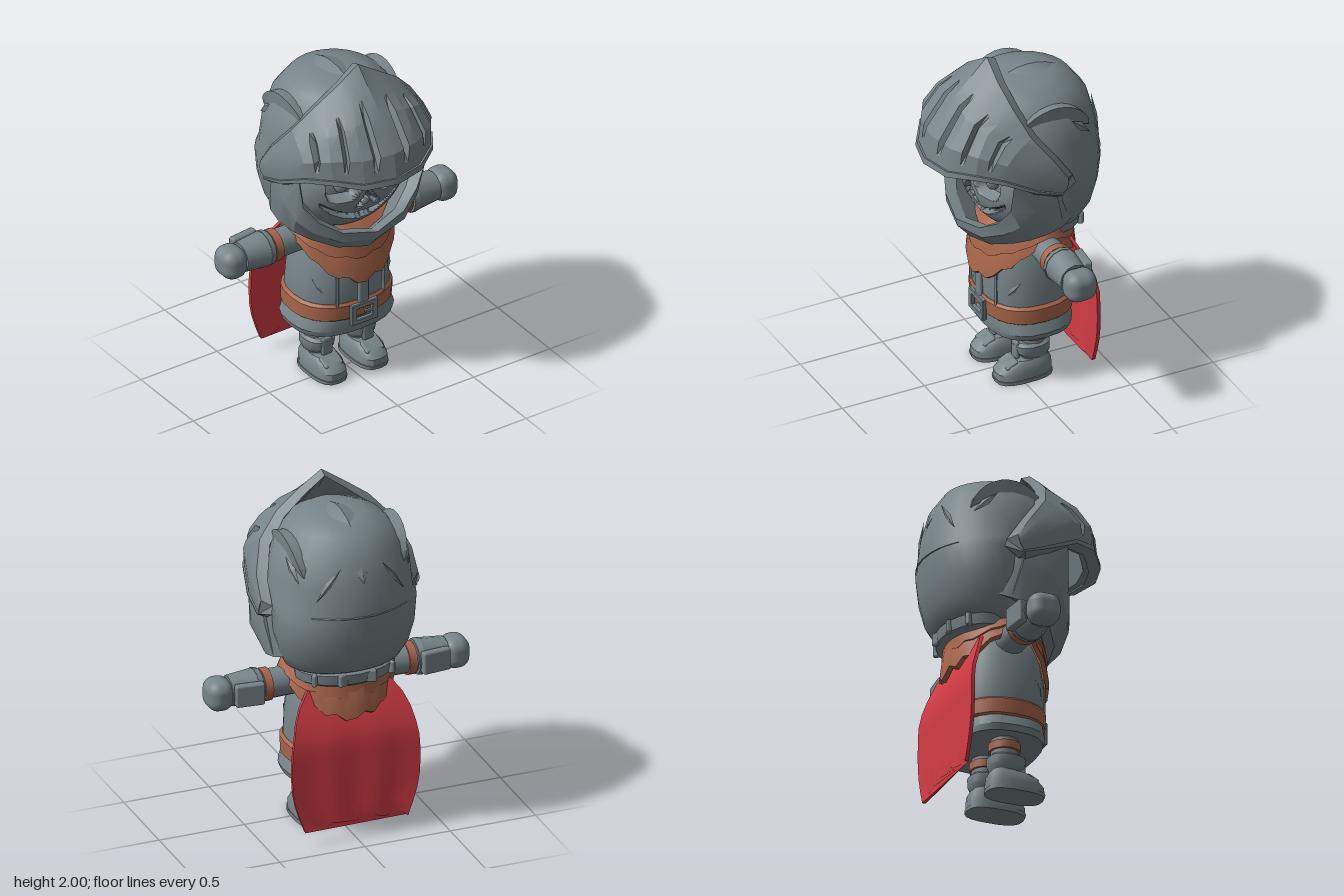
import * as THREE from 'three';
import { toCreasedNormals } from 'three/addons/utils/BufferGeometryUtils.js';
import { RoundedBoxGeometry } from 'three/addons/geometries/RoundedBoxGeometry.js';

const V = (x, y, z) => new THREE.Vector3(x, y, z);
const material = (name, color) => Object.assign(new THREE.MeshStandardMaterial({ color }), { name });

// Skin a row of closed loops; ends are capped unless the path itself is closed.
function loft(loops, closedPath = false, crease = 0.6) {
  const tris = [], n = loops[0].length, last = loops.length - (closedPath ? 0 : 1);
  for (let i = 0; i < last; i++) {
    const A = loops[i], B = loops[(i + 1) % loops.length];
    for (let j = 0; j < n; j++) {
      const k = (j + 1) % n;
      tris.push([A[j], A[k], B[k]], [A[j], B[k], B[j]]);
    }
  }
  if (!closedPath) {
    const A = loops[0], B = loops[loops.length - 1];
    for (let j = 1; j < n - 1; j++) tris.push([A[0], A[j + 1], A[j]], [B[0], B[j], B[j + 1]]);
  }
  // turn the faces outwards
  const volume = tris.reduce((s, [a, b, c]) => s + a.dot(b.clone().cross(c)), 0);
  const points = tris.flatMap(t => (volume < 0 ? [t[0], t[2], t[1]] : t));
  return toCreasedNormals(new THREE.BufferGeometry().setFromPoints(points), crease);
}

// Horizontal superellipse loop between a back and a front z.
function ring([y, rx, back, front], n = 24, power = 2) {
  const bend = t => Math.sign(t) * Math.abs(t) ** (2 / power);
  return Array.from({ length: n }, (_, i) => {
    const a = (i / n) * Math.PI * 2;
    return V(rx * bend(Math.sin(a)), y, (back + front) / 2 + (front - back) / 2 * bend(Math.cos(a)));
  });
}
const stack = (rows, n, power, crease) => loft(rows.map(r => ring(r, n, power)), false, crease);
const mirrored = half => [
  ...half.slice(1).reverse().map(loop => loop.map(p => V(-p.x, p.y, p.z))), ...half];

export function createModel() {
  const model = new THREE.Group();
  const steel = material('steel', 0x78858a);
  const leather = material('leather', 0xa8654a);
  const red = material('red cloth', 0xd43c45);

  const add = (name, geometry, mat, x = 0, y = 0, z = 0) => {
    const mesh = new THREE.Mesh(geometry, mat);
    mesh.name = name;
    mesh.position.set(x, y, z);
    model.add(mesh);
    return mesh;
  };
  const box = (w, h, d, r = 0.012) => new RoundedBoxGeometry(w, h, d, 1, r);
  // Thin diamond scratch facing along a direction
  const gash = (name, p, dir, w, h, roll = 0) => {
    const m = add(name, new THREE.OctahedronGeometry(1).scale(w, h, 0.012), steel, ...p);
    m.lookAt(V(...p).add(V(...dir)));
    m.rotateZ(roll);
  };

  // Helmet shell
  add('helmetDome', stack([
    [1.862, 0.07, -0.16, 0], [1.85, 0.16, -0.27, 0.1], [1.81, 0.26, -0.37, 0.17], [1.7, 0.35, -0.45, 0.23],
    [1.55, 0.395, -0.49, 0.25], [1.41, 0.405, -0.51, 0.24], [1.36, 0.408, -0.508, 0.1], [1.22, 0.4, -0.49, 0.09],
    [1.1, 0.37, -0.46, 0.08], [1.02, 0.33, -0.41, 0.06], [0.97, 0.26, -0.32, 0.03]], 28, 2, 0.7), steel);

  // Raised ridges running over the dome
  const onDome = (x, a, scale) => {
    const k = Math.sqrt(1 - (x / 0.43) ** 2) * scale;
    return V(x * scale, 1.42 + 0.455 * k * Math.cos(a), -0.12 + 0.4 * k * Math.sin(a));
  };
  for (const [name, x, w, h, from, to] of [['centreRidge', 0, 0.07, 0.035, 0.6, -1.2],
    ['leftRidge', 0.3, 0.04, 0.14, 0.8, -0.95], ['rightRidge', -0.3, 0.04, 0.14, 0.8, -0.95]]) {
    const loops = [];
    for (let i = 0; i <= 12; i++) {
      const a = from + (to - from) * i / 12, s = Math.sin(Math.PI * i / 12) ** 0.6;
      loops.push([onDome(x - w * s - 0.002, a, 0.985), onDome(x, a, 0.99 + h * s), onDome(x + w * s + 0.002, a, 0.985), onDome(x, a, 0.92)]);
    }
    add(name, loft(loops, false, 0.3), steel);
  }
  const scar = [];
  for (let i = 0; i <= 12; i++) {
    const a = -0.75 + i * 0.125, h = 0.002 + 0.012 * Math.sin(Math.PI * i / 12);
    const at = (r, dy) => V(0.41 * r * Math.sin(a), 1.39 + dy, -0.155 - 0.352 * r * Math.cos(a));
    scar.push([at(0.98, h), at(1.015, 0), at(0.98, -h)]);
  }
  add('backScar', loft(scar, false, 0.3), steel);
  for (const s of [1, -1]) {
    gash('sideScar', [s * 0.335, 1.63, -0.28], [s, 0.3, -0.5], 0.025, 0.09, s * 0.8);
    gash('rearScar', [s * 0.19, 1.58, -0.44], [s * 0.5, 0.25, -1], 0.018, 0.12, -s * 0.6);
  }

  // Visor: control columns from centre to temple, bottom to top
  const columns = [
    [V(0, 1.43, 0.495), V(0, 1.6, 0.465), V(0, 1.8, 0.32), V(0, 2, 0.12)],
    [V(0.18, 1.43, 0.45), V(0.18, 1.6, 0.43), V(0.16, 1.76, 0.33), V(0.13, 1.91, 0.12)],
    [V(0.32, 1.46, 0.355), V(0.33, 1.6, 0.34), V(0.3, 1.71, 0.27), V(0.27, 1.81, 0.1)],
    [V(0.41, 1.44, 0.22), V(0.42, 1.56, 0.21), V(0.41, 1.62, 0.15), V(0.39, 1.68, 0.05)],
    [V(0.455, 1.36, 0.05), V(0.465, 1.44, 0.02), V(0.465, 1.49, -0.02), V(0.455, 1.53, -0.06)],
    [V(0.46, 1.31, -0.1), V(0.47, 1.35, -0.13), V(0.47, 1.38, -0.14), V(0.46, 1.41, -0.14)]];
  const visorPoint = (u, v) => {
    const i = Math.min(4, Math.floor(u)), j = Math.min(2, Math.floor(v));
    const at = c => c[j].clone().lerp(c[j + 1], v - j);
    return at(columns[i]).lerp(at(columns[i + 1]), u - i);
  };
  const inward = (p, dy, dz) => V(p.x * 0.9, p.y + dy, p.z + dz);
  const visorLoops = [0, 0.42, 0.54, 0.66, 1, 1.4, 1.5, 1.6, 2, 2.38, 2.5, 2.62, 3, 3.5, 4, 5].map(u => {
    const slot = [0.54, 1.5, 2.5].includes(u);
    const outer = [0, 0.5, 1, 1.5, 2, 2.4, 3].map(v => {
      const p = visorPoint(u, v);
      return slot && v >= 1 && v <= 2 ? p.lerp(V(0, 1.5, 0), 0.08) : p;
    });
    const k = 1 - u / 6;
    return [...outer, inward(visorPoint(u, 3), -0.02, -0.05), inward(visorPoint(u, 1.5), -0.02, -0.07), inward(visorPoint(u, 0), -0.02, -0.1 * k)];
  });
  add('visor', loft(mirrored(visorLoops), false, 0.35), steel);
  const rimLoops = [0, 0.5, 1, 1.5, 2, 2.5, 3, 3.5, 4, 5].map(u => {
    const p = visorPoint(u, 0), q = visorPoint(u, 0.2), out = V(1.018, 1, 1.025);
    return [p.clone().multiply(out), q.multiply(out), V(p.x * 0.95, p.y + 0.03, p.z * 0.95), V(p.x * 0.93, p.y - 0.025, p.z * 0.88)];
  });
  add('visorRim', loft(mirrored(rimLoops), false, 0.5), steel);

  // Chin and cheek guard: top, middle and bottom of each column
  const guard = [
    [V(0, 1.02, 0.31), V(0, 0.97, 0.3), V(0, 0.88, 0.22)],
    [V(0.2, 1.06, 0.27), V(0.21, 1, 0.26), V(0.18, 0.92, 0.19)],
    [V(0.32, 1.14, 0.22), V(0.34, 1.07, 0.19), V(0.3, 0.97, 0.11)],
    [V(0.4, 1.25, 0.18), V(0.415, 1.14, 0.13), V(0.37, 1.01, 0.04)],
    [V(0.42, 1.41, 0.17), V(0.445, 1.24, 0.05), V(0.4, 1.04, -0.06)],
    [V(0.425, 1.42, -0.06), V(0.425, 1.25, -0.1), V(0.39, 1.06, -0.15)]];
  add('chinGuard', loft(mirrored(guard.map(g => [...g, inward(g[2], 0.03, -0.08), inward(g[0], -0.01, -0.06)])), false, 0.4), steel);

  // Skull with sunken sockets, nose and grin
  const skull = new THREE.SphereGeometry(1, 180, 110).scale(0.37, 0.3, 0.25).translate(0, 1.24, -0.02);
  const pos = skull.attributes.position;
  const soft = d => THREE.MathUtils.clamp(d / 0.016, 0, 1);
  for (let i = 0; i < pos.count; i++) {
    const x = Math.abs(pos.getX(i)), y = pos.getY(i), z = pos.getZ(i);
    if (z < 0.03) continue;
    const socket = soft(0.09 * (1 - (((x - 0.15) / 0.09) ** 4 + ((y - 1.3) / 0.09) ** 4) ** 0.25));
    const nose = soft(Math.min((1.26 - y) * 0.7 - x, y - 1.145, x - (1.19 - y) * 0.9));
    const smile = 1.05 + 1.9 * x * x;
    const mouth = soft(Math.min(y - smile, smile + 0.065 - 0.15 * x - y, 0.27 - x));
    pos.setZ(i, z - Math.max(socket * 0.07, nose * 0.05, mouth * 0.05));
  }
  skull.deleteAttribute('uv');
  add('skull', toCreasedNormals(skull, 0.5), steel);
  for (const s of [1, -1]) {
    add('eye', new THREE.SphereGeometry(1, 12, 10).scale(0.04, 0.052, 0.04), steel, s * 0.14, 1.295, 0.155);
    for (const [x, up] of [[0.03, 1], [0.09, -1], [0.15, 1], [0.21, -1]]) {
      const tooth = add('tooth', new THREE.ConeGeometry(0.026, 0.05, 4), steel, s * x, 1.07 + 1.9 * x * x + (up > 0 ? 0 : 0.012), 0.155 - x * x * 1.2);
      tooth.rotation.x = up > 0 ? 0 : Math.PI;
    }
  }

  // Neck collar with studs
  add('collar', stack([[0.92, 0.25, -0.37, -0.02], [0.94, 0.28, -0.4, 0], [1, 0.29, -0.41, 0], [1.02, 0.26, -0.38, -0.02]], 20), steel);
  for (const a of [-0.9, -0.3, 0.3, 0.9])
    add('collarPlate', box(0.06, 0.075, 0.03), steel, 0.28 * Math.sin(a), 0.97, -0.2 - 0.2 * Math.cos(a)).rotation.y = a;

  // Torso, skirt and belt
  add('torso', stack([[0.4, 0.27, -0.31, 0.15], [0.5, 0.285, -0.33, 0.16], [0.65, 0.275, -0.325, 0.17],
    [0.8, 0.255, -0.3, 0.15], [0.9, 0.22, -0.27, 0.11], [0.97, 0.14, -0.22, 0.05]], 24, 2.4), steel);
  add('skirt', stack([[0.32, 0.25, -0.28, 0.12], [0.31, 0.3, -0.325, 0.15], [0.345, 0.312, -0.33, 0.16], [0.42, 0.285, -0.32, 0.155]], 24, 2.6, 0.5), steel);
  add('belt', stack([[0.405, 0.29, -0.335, 0.16], [0.415, 0.302, -0.345, 0.17], [0.5, 0.302, -0.345, 0.175], [0.515, 0.285, -0.33, 0.165]], 24, 2.4, 0.5), leather);
  add('chestStrip', box(0.065, 0.24, 0.03), steel, 0, 0.6, 0.165);
  for (const s of [1, -1]) {
    add('chestSeam', box(0.016, 0.22, 0.02, 0.005), steel, s * 0.15, 0.61, 0.14).rotation.y = s * 0.4;
    gash('chestScratch', [s * 0.23, 0.62, 0.075], [s, 0, 0.8], 0.02, 0.06, -s * 0.7);
  }
  const frame = new THREE.Shape([[-0.08, -0.06], [0.08, -0.06], [0.08, 0.06], [-0.08, 0.06]].map(p => new THREE.Vector2(...p)));
  frame.holes.push(new THREE.Path([[-0.055, -0.037], [-0.055, 0.037], [0.055, 0.037], [0.055, -0.037]].map(p => new THREE.Vector2(...p))));
  add('buckle', new THREE.ExtrudeGeometry(frame, { depth: 0.018, bevelSize: 0.004, bevelThickness: 0.004, bevelSegments: 1 }), steel, 0, 0.437, 0.168);
  add('bucklePin', box(0.055, 0.018, 0.015, 0.004), steel, 0.03, 0.437, 0.182);

  // Ragged shoulder scarf in two layers
  for (const [name, drop, lift] of [['scarf', 1, 0], ['scarfFold', 0.55, 0.022]]) {
    const loops = Array.from({ length: 36 }, (_, i) => {
      const a = (i / 36) * Math.PI * 2, s = Math.sin(a), c = Math.cos(a);
      const jag = [0, 0.03, -0.005, 0.005, 0.035][i % 5] * Math.abs(c) * drop;
      const fall = (c > 0 ? 0.29 * c ** 1.35 : 0.22 * (-c) ** 1.1) * drop;
      const spread = (c > 0 ? 0.285 : 0.3) * (0.75 + 0.25 * drop) + lift;
      const bottom = V(0.325 * s, 0.935 - fall + jag + lift, -0.08 + spread * c);
      const top = V(0.22 * s, 0.99, -0.08 + (c > 0 ? 0.19 : 0.22) * c);
      const mid = top.clone().lerp(bottom, 0.5).add(V(0.025 * s, 0.02, 0.025 * c));
      const inset = p => V(p.x - 0.025 * s, p.y - 0.012, p.z - 0.025 * c);
      return [top, mid, bottom, inset(bottom), inset(mid)];
    });
    add(name, loft(loops, true, 0.5), leather);
  }

  // Cape with a torn hem, tucked under the scarf at the top
  const widths = [0.24, 0.3, 0.335, 0.355, 0.37, 0.375, 0.375, 0.37, 0.355, 0.33, 0.3];
  add('cape', loft(widths.map((w, row) => {
    const t = row / 10;
    const side = thick => Array.from({ length: 15 }, (_, i) => {
      const u = i / 7 - 1;
      const hem = t * t * (0.035 * (1 - u * u) + [0, 0.025, 0.005, 0.03][i % 4]);
      const z = [-0.25, -0.285, -0.315, -0.34, -0.352][Math.min(row, 4)] - 0.008 * t;
      return V(u * w, 0.88 - 0.8 * t + hem, z - thick + 0.006 * Math.cos(u * 9) * t);
    });
    return [...side(0), ...side(0.02).reverse()];
  }), false, 0.7), red);

  // Arms and legs
  const tube = (r1, r2, len, n = 16) => toCreasedNormals(new THREE.CylinderGeometry(r1, r2, len, n), 0.6);
  for (const s of [1, -1]) {
    const sleeve = (name, r1, r2, x1, x2, mat, n) => {
      add(name, tube(r2, r1, x2 - x1, n), mat, s * (x1 + x2) / 2, 0.875, -0.09).rotation.z = -s * Math.PI / 2;
    };
    sleeve('upperArm', 0.08, 0.083, 0.18, 0.47, steel);
    sleeve('armBand', 0.093, 0.093, 0.4, 0.445, leather);
    sleeve('forearmCuff', 0.1, 0.104, 0.455, 0.485, steel, 12);
    sleeve('forearm', 0.101, 0.086, 0.485, 0.635, steel, 12);
    add('forearmPlate', box(0.165, 0.13, 0.05), steel, s * 0.545, 0.88, -0.187).rotation.y = -s * 0.1;
    add('hand', new RoundedBoxGeometry(0.15, 0.178, 0.18, 3, 0.065), steel, s * 0.692, 0.87, -0.09);

    const x = s * 0.135;
    const pillar = (name, r, y1, y2, mat) => add(name, tube(r, r, y2 - y1), mat, x, (y1 + y2) / 2, -0.085);
    pillar('leg', 0.075, 0.2, 0.36, steel);
    pillar('legBand', 0.088, 0.25, 0.297, leather);
    const bootPart = (name, rows, power) => add(name, stack(rows, 18, power, 0.55), steel, x);
    bootPart('bootShaft', [[0.08, 0.078, -0.17, 0], [0.13, 0.07, -0.165, -0.01], [0.16, 0.085, -0.18, 0.02],
      [0.21, 0.088, -0.18, 0.03], [0.225, 0.07, -0.165, 0.01]], 2.4);
    bootPart('foot', [[0, 0.09, -0.19, 0.14], [0.06, 0.091, -0.19, 0.138], [0.1, 0.084, -0.185, 0.1], [0.125, 0.07, -0.17, 0.05]], 2.8);
    bootPart('sole', [[0, 0.095, -0.195, 0.14], [0.022, 0.095, -0.195, 0.145]], 2.8);
    add('shinPlate', box(0.07, 0.11, 0.025), steel, x, 0.18, 0.016);
    add('toePlate', box(0.12, 0.025, 0.08), steel, x, 0.105, 0.06).rotation.x = 0.45;
  }
  return model;
}
